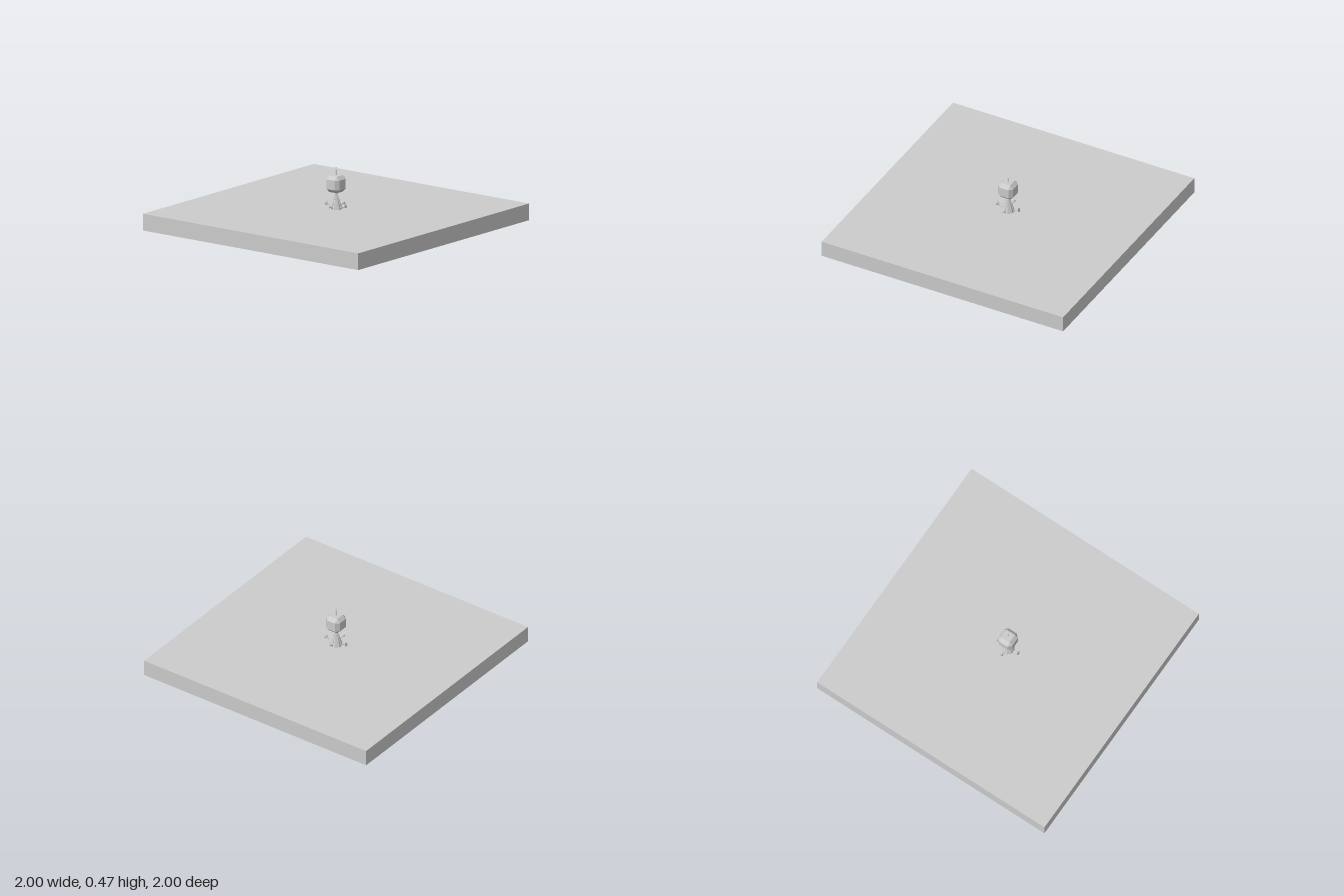
import * as THREE from 'three';
import { ConvexGeometry } from 'three/addons/geometries/ConvexGeometry.js';

export function createModel() {
  const model = new THREE.Group();
  const mat = new THREE.MeshStandardMaterial({ color: 0xcccccc, flatShading: true, side: THREE.DoubleSide });
  const add = (name, geo, parent = model) => {
    const mesh = new THREE.Mesh(geo, mat);
    mesh.name = name;
    parent.add(mesh);
    return mesh;
  };

  // Square slab pierced by the buoy
  add('slab', new THREE.BoxGeometry(2, 0.125, 2)).position.y = 0.0975;

  // Faceted head: cube with bevelled edges and corners
  const a = 0.062, b = 0.036, points = [];
  for (const x of [-1, 1]) for (const y of [-1, 1]) for (const z of [-1, 1]) {
    points.push(
      new THREE.Vector3(x * a, y * b, z * b),
      new THREE.Vector3(x * b, y * a, z * b),
      new THREE.Vector3(x * b, y * b, z * a));
  }
  add('head', new ConvexGeometry(points)).position.y = 0.349;

  // Antenna with a small tip
  add('antenna', new THREE.CylinderGeometry(0.0015, 0.003, 0.06, 6)).position.y = 0.437;
  add('antennaTip', new THREE.SphereGeometry(0.005, 6, 4)).position.y = 0.467;

  // Tapering neck running down into the body
  const profile = [[0, 0.035], [0.055, 0.035], [0.065, 0.1], [0.05, 0.165], [0.035, 0.205], [0.012, 0.265], [0.009, 0.3]]
    .map(([r, y]) => new THREE.Vector2(r, y));
  add('neck', new THREE.LatheGeometry(profile, 8, Math.PI / 8));

  for (let i = 0; i < 4; i++) {
    const side = new THREE.Group();
    side.name = 'side' + (i + 1);
    side.rotation.y = i * Math.PI / 2;
    model.add(side);

    // Arm sloping outward to a flared horn
    const arm = new THREE.Group();
    arm.name = 'arm';
    arm.position.set(0.035, 0.17, 0);
    arm.rotation.z = -Math.PI / 2 + 0.35;
    side.add(arm);
    add('rod', new THREE.CylinderGeometry(0.004, 0.006, 0.05, 6), arm).position.y = 0.022;
    add('horn', new THREE.CylinderGeometry(0.015, 0.004, 0.02, 8), arm).position.y = 0.05;

    // Strut standing against the neck
    const strut = add('strut', new THREE.CylinderGeometry(0.003, 0.004, 0.12, 5), side);
    strut.position.set(0.03, 0.215, 0);
    strut.rotation.z = 0.38;

    // Wedge-shaped foot panel beneath the slab
    const section = new THREE.Shape([[0.05, 0.06], [0.08, 0.06], [0.08, 0.003], [0.073, 0.0]]
      .map(([x, y]) => new THREE.Vector2(x, y)));
    const foot = new THREE.ExtrudeGeometry(section, { depth: 0.1, bevelEnabled: false });
    foot.translate(0, 0, -0.05);
    add('footPanel', foot, side);
  }
  return model;
}
